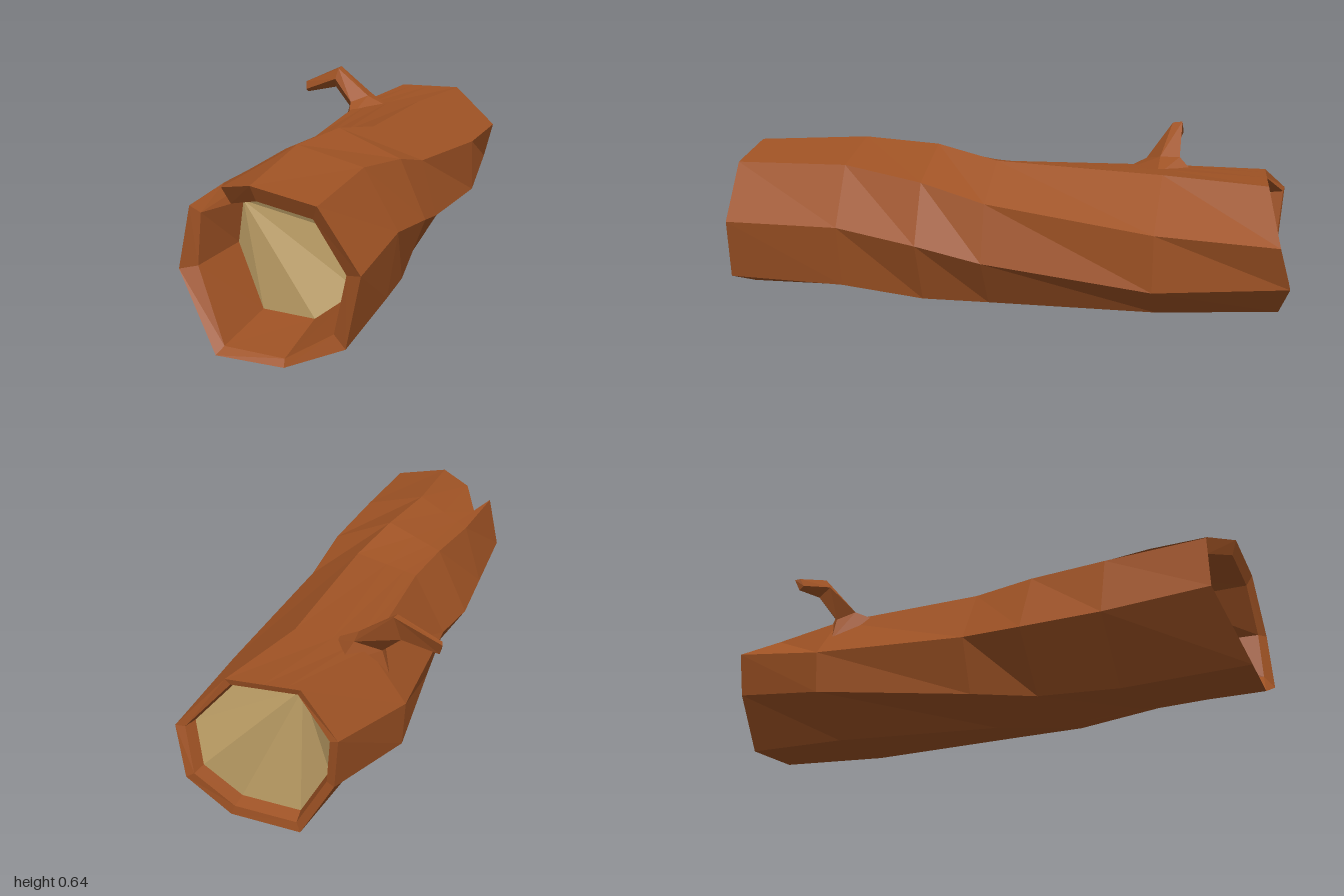
import * as THREE from 'three';

const bark = new THREE.MeshStandardMaterial({ color: 0x9e5224, flatShading: true });
bark.name = 'bark';
const wood = new THREE.MeshStandardMaterial({ color: 0xb99b63, flatShading: true });
wood.name = 'cut wood';

const mesh = (name, points, material) => {
  const geo = new THREE.BufferGeometry().setFromPoints(points);
  geo.computeVertexNormals();
  const m = new THREE.Mesh(geo, material);
  m.name = name;
  return m;
};

// Skin between consecutive cross-sections
function loft(sections) {
  const out = [];
  for (let i = 0; i < sections.length - 1; i++) {
    const s = sections[i], t = sections[i + 1], n = s.length;
    for (let j = 0; j < n; j++) {
      const k = (j + 1) % n;
      out.push(s[j], s[k], t[k], s[j], t[k], t[j]);
    }
  }
  return out;
}

// Triangle fan over one cross-section, starting at a chosen corner
function fan(s, start, flip) {
  const out = [], n = s.length;
  for (let j = 1; j < n - 1; j++) {
    const b = s[(start + j) % n], c = s[(start + j + 1) % n];
    out.push(s[start], flip ? c : b, flip ? b : c);
  }
  return out;
}

const vecs = (list) => list.map((p) => new THREE.Vector3(...p));

// Eight corners clockwise from the top, plus two extra between upper left and top
function ring(list, notch) {
  const p = vecs(list);
  const extra = notch ? vecs(notch) : [0.2, 0.5].map((t) => p[7].clone().lerp(p[0], t));
  return [...p, ...extra];
}
const flatRing = (z, list) => ring(list.map(([x, y]) => [x, y, z]));

// Smaller copy of a ring, moved along z
function inset(s, scale, dz) {
  const c = new THREE.Vector3();
  s.forEach((p) => c.addScaledVector(p, 1 / s.length));
  return s.map((p) => new THREE.Vector3(
    c.x + (p.x - c.x) * scale, c.y + (p.y - c.y) * scale, p.z + dz));
}

export function createModel() {
  const group = new THREE.Group();
  group.name = 'log';

  // Hollow front end with a split at the upper left
  const frontCap = ring([
    [0.035, 0.47, 0.7], [0.145, 0.435, 0.67], [0.285, 0.315, 0.62], [0.275, 0.155, 0.65],
    [0.155, 0.07, 0.72], [-0.02, 0.08, 0.72], [-0.12, 0.28, 0.68], [-0.1, 0.42, 0.68]]);
  const frontInner = ring([
    [0.07, 0.51, 0.95], [0.245, 0.475, 0.95], [0.345, 0.32, 0.95], [0.31, 0.14, 0.96],
    [0.16, 0.045, 0.97], [-0.035, 0.055, 0.97], [-0.145, 0.275, 0.91], [-0.135, 0.44, 0.9]],
  [[-0.12, 0.455, 0.71], [-0.04, 0.475, 0.89]]);
  const frontRim = ring([
    [0.06, 0.56, 0.97], [0.265, 0.52, 0.97], [0.395, 0.33, 0.97], [0.355, 0.11, 0.985],
    [0.165, 0.025, 0.99], [-0.05, 0.035, 1], [-0.2, 0.265, 0.93], [-0.162, 0.465, 0.92]],
  [[-0.145, 0.485, 0.72], [-0.065, 0.525, 0.9]]);

  // Wavy, slightly twisting trunk
  const body = [
    flatRing(0.56, [[0.035, 0.585], [0.26, 0.53], [0.375, 0.33], [0.34, 0.105],
      [0.14, 0.03], [-0.07, 0.03], [-0.22, 0.25], [-0.155, 0.475]]),
    flatRing(0.27, [[0.07, 0.58], [0.29, 0.49], [0.38, 0.285], [0.3, 0.063],
      [0.085, 0], [-0.1, 0.045], [-0.24, 0.25], [-0.13, 0.49]]),
    flatRing(0.04, [[0.115, 0.54], [0.3, 0.43], [0.355, 0.23], [0.25, 0.05],
      [0.05, 0.02], [-0.16, 0.075], [-0.22, 0.27], [-0.11, 0.485]]),
    flatRing(-0.55, [[0.11, 0.52], [0.34, 0.37], [0.345, 0.17], [0.2, 0.045],
      [-0.09, 0.025], [-0.258, 0.16], [-0.27, 0.315], [-0.145, 0.495]]),
  ];

  // Back end with a shallow recess
  const backRim = ring([
    [0.18, 0.52, -0.91], [0.335, 0.355, -0.96], [0.29, 0.2, -1], [0.16, 0.07, -0.97],
    [-0.07, 0.055, -0.965], [-0.185, 0.25, -0.96], [-0.205, 0.42, -0.97], [-0.06, 0.52, -0.895]]);
  const backInner = inset(backRim, 0.89, 0.005);
  const backCap = inset(backRim, 0.85, 0.05);

  group.add(
    mesh('trunk', loft([frontCap, frontInner, frontRim, ...body, backRim, backInner, backCap]), bark),
    mesh('frontCutFace', fan(frontCap, 7, true), wood),
    mesh('backCutFace', fan(backCap, 7, false), wood));

  // Bent branch stub: tip, elbow, neck and flared base
  const branch = [
    [[-0.395, 0.568, -0.58], [-0.39, 0.57, -0.56], [-0.385, 0.54, -0.545], [-0.383, 0.527, -0.565]],
    [[-0.24, 0.64, -0.585], [-0.24, 0.635, -0.55], [-0.246, 0.595, -0.525], [-0.257, 0.555, -0.565]],
    [[-0.11, 0.535, -0.59], [-0.1, 0.535, -0.52], [-0.155, 0.515, -0.465], [-0.183, 0.485, -0.53]],
    [[-0.08, 0.48, -0.65], [0, 0.49, -0.52], [-0.13, 0.46, -0.36], [-0.21, 0.39, -0.53]],
  ].map(vecs);
  group.add(mesh('branch', [...loft(branch), ...fan(branch[0], 0, true)], bark));

  return group;
}
